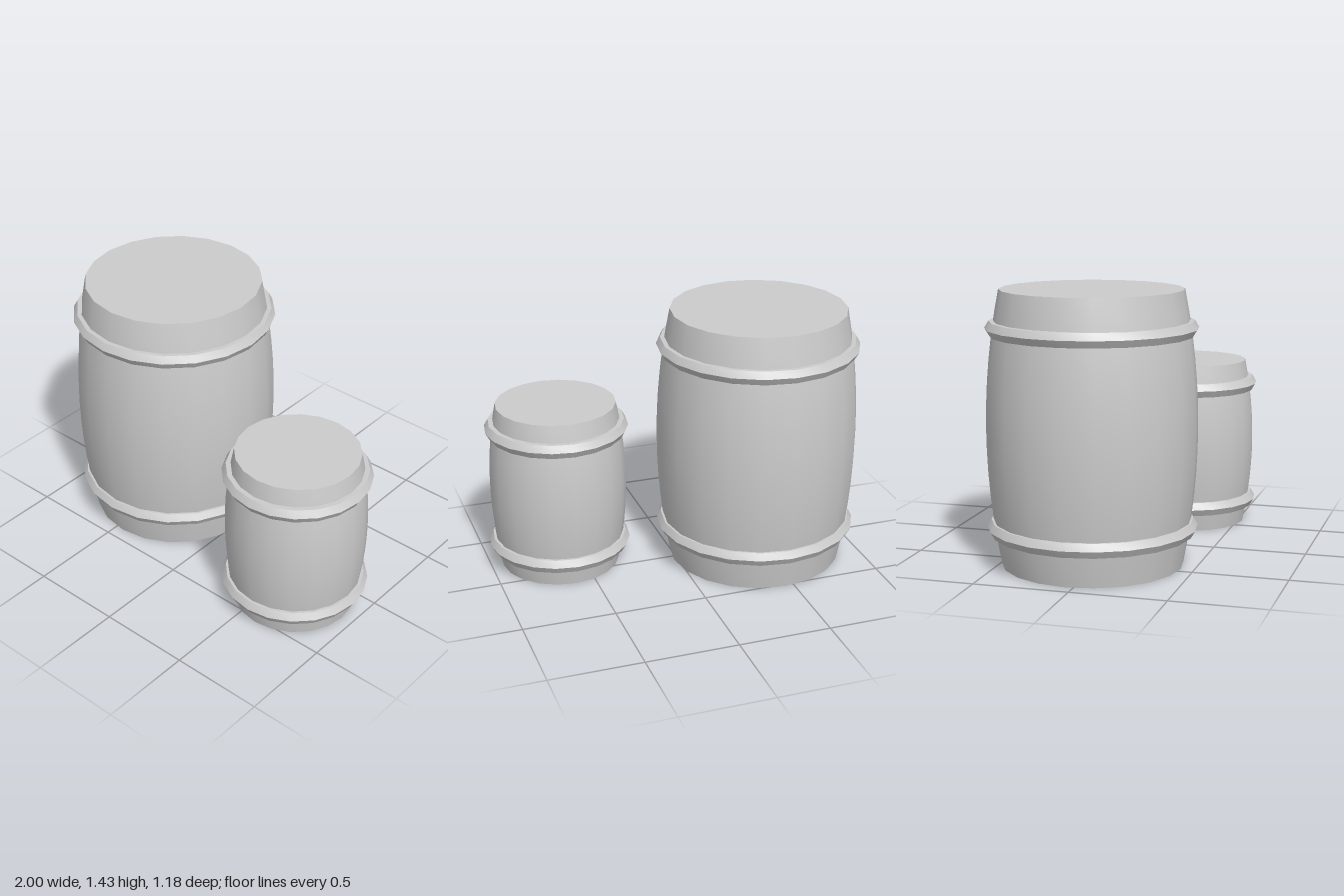
import * as THREE from 'three';
import { toCreasedNormals } from 'three/addons/utils/BufferGeometryUtils.js';

const SIDES = 20;

// Revolve a profile, keeping the wall smooth and sharp corners crisp
function revolve(points, material, name) {
  const profile = points.map(([r, y]) => new THREE.Vector2(r, y));
  const geometry = toCreasedNormals(new THREE.LatheGeometry(profile, SIDES), 0.6);
  const mesh = new THREE.Mesh(geometry, material);
  mesh.name = name;
  return mesh;
}

function createBarrel({ name, endRadius, bellyRadius, height, hoopRadius, hoopHeights }, material) {
  const barrel = new THREE.Group();
  barrel.name = name;

  // Bulging closed body
  const steps = 12;
  const body = [[0, 0]];
  for (let i = 0; i <= steps; i++) {
    const t = (2 * i) / steps - 1;
    body.push([bellyRadius - (bellyRadius - endRadius) * t * t, (height * i) / steps]);
  }
  body.push([0, height]);
  barrel.add(revolve(body, material, 'barrelBody'));

  // Hoops with a hexagonal section, one edge pointing outward
  const thickness = 0.043;
  const section = [];
  for (let i = 0; i <= 6; i++) {
    const a = -Math.PI + (i * Math.PI) / 3;
    section.push([hoopRadius - thickness + thickness * Math.cos(a), thickness * Math.sin(a)]);
  }
  hoopHeights.forEach((y, i) => {
    const hoop = revolve(section, material, i === 0 ? 'lowerHoop' : 'upperHoop');
    hoop.position.y = y;
    barrel.add(hoop);
  });
  return barrel;
}

export function createModel() {
  const model = new THREE.Group();
  model.name = 'barrels';
  const grey = new THREE.MeshStandardMaterial({ color: 0xcccccc });
  grey.name = 'grey';

  const large = createBarrel({
    name: 'largeBarrel', endRadius: 0.474, bellyRadius: 0.546, height: 1.433,
    hoopRadius: 0.547, hoopHeights: [0.202, 1.235],
  }, grey);
  large.position.set(-0.453, 0, -0.045);

  const small = createBarrel({
    name: 'smallBarrel', endRadius: 0.325, bellyRadius: 0.373, height: 0.936,
    hoopRadius: 0.389, hoopHeights: [0.132, 0.805],
  }, grey);
  small.position.set(0.611, 0, 0.203);

  model.add(large, small);
  return model;
}
